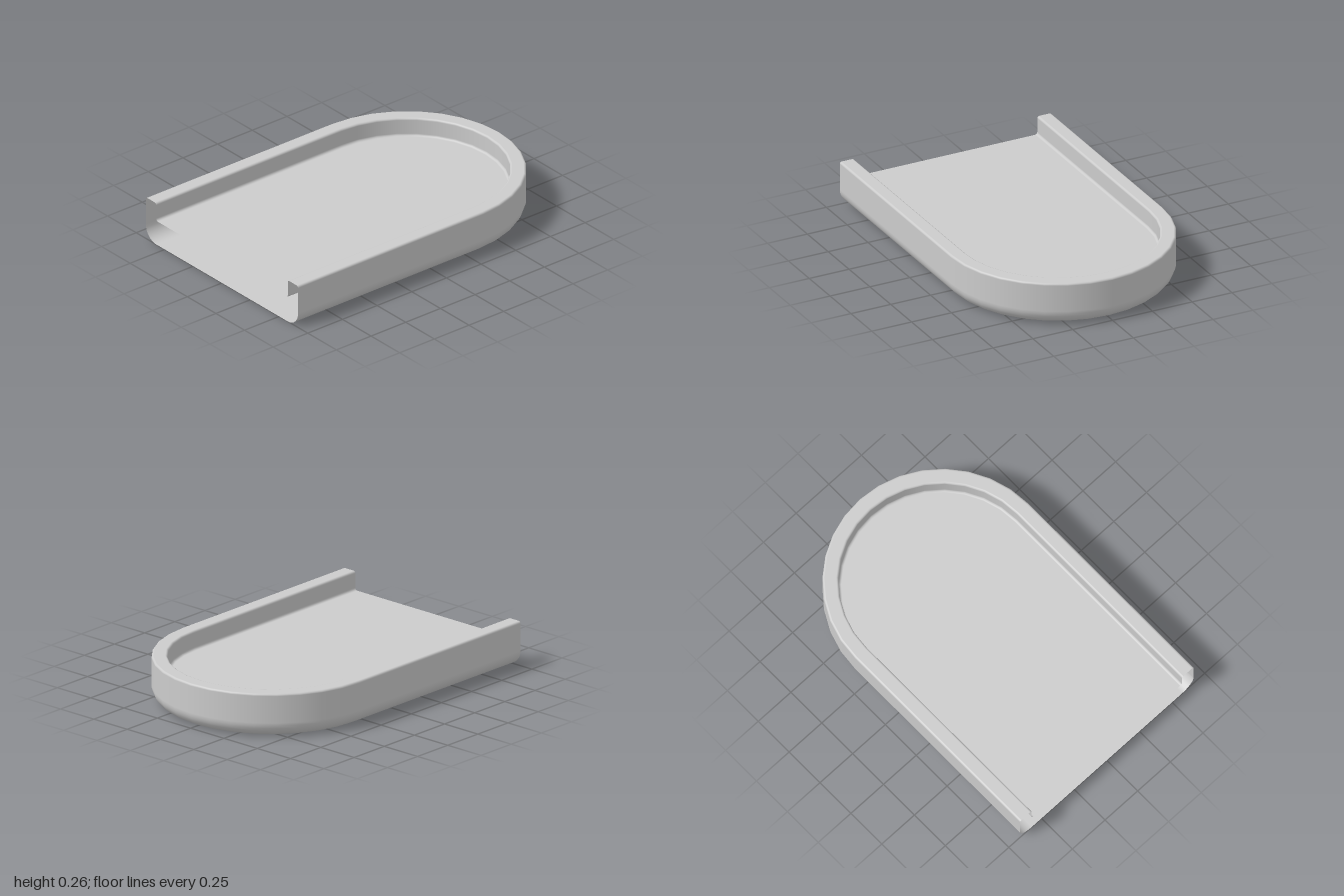
import * as THREE from 'three';

const R = 0.665;        // half width and radius of the round end
const HEIGHT = 0.262;
const FLOOR = 0.15;     // height of the recessed floor
const INNER = 0.575;    // half width of the recess
const ARC_STEPS = 16;

// Rounded corner of the section: points [outward, y, normalOut, normalY]
function corner(cx, cy, r, from, to, steps, side = 1) {
  const pts = [];
  for (let i = 0; i <= steps; i++) {
    const a = THREE.MathUtils.degToRad(from + ((to - from) * i) / steps);
    const c = Math.cos(a), s = Math.sin(a);
    pts.push([cx + r * c, cy + r * s, side * c, side * s]);
  }
  return pts;
}

// Half section from the underside centre, over the rim, to the floor centre
function section() {
  const b = 0.09, t = 0.013, f = 0.015;
  return [
    [0, 0, 0, -1],
    ...corner(R - b, b, b, -90, 0, 8),
    ...corner(R - t, HEIGHT - t, t, 0, 90, 4),
    ...corner(INNER + t, HEIGHT - t, t, 90, 180, 4),
    ...corner(INNER - f, FLOOR + f, f, 0, -90, 4, -1),
    [0, FLOOR, 0, 1],
  ];
}

// U-shaped path: straight side, half circle, straight side
function path() {
  const cx = 1 - R;
  const frames = [{ x: -1, dx: 0, dz: 1 }];
  for (let i = 0; i <= ARC_STEPS; i++) {
    const a = Math.PI / 2 - (Math.PI * i) / ARC_STEPS;
    frames.push({ x: cx, dx: Math.cos(a), dz: Math.sin(a) });
  }
  frames.push({ x: -1, dx: 0, dz: -1 });
  return frames;
}

// Sweep the section along the path; the end at -x stays open
function sweep(frames, profile) {
  const pos = [], nor = [], idx = [];
  const n = profile.length;
  frames.forEach(({ x, dx, dz }, i) => {
    profile.forEach(([o, y, no, ny], j) => {
      pos.push(x + dx * o, y, dz * o);
      nor.push(dx * no, ny, dz * no);
      if (i === frames.length - 1 || j === n - 1) return;
      const a = i * n + j, b = a + n;
      const onArc = i > 0 && i < frames.length - 2;
      // Arc quads collapse to one triangle at the section's centre
      if (!(onArc && j === 0)) idx.push(a, b, a + 1);
      if (!(onArc && j === n - 2)) idx.push(b, b + 1, a + 1);
    });
  });
  const g = new THREE.BufferGeometry();
  g.setAttribute('position', new THREE.Float32BufferAttribute(pos, 3));
  g.setAttribute('normal', new THREE.Float32BufferAttribute(nor, 3));
  g.setIndex(idx);
  return g;
}

export function createModel() {
  const group = new THREE.Group();
  group.name = 'roundEndedTray';
  const material = new THREE.MeshStandardMaterial({ color: 0xcccccc, side: THREE.DoubleSide });
  const shell = new THREE.Mesh(sweep(path(), section()), material);
  shell.name = 'trayShell';
  group.add(shell);
  return group;
}
